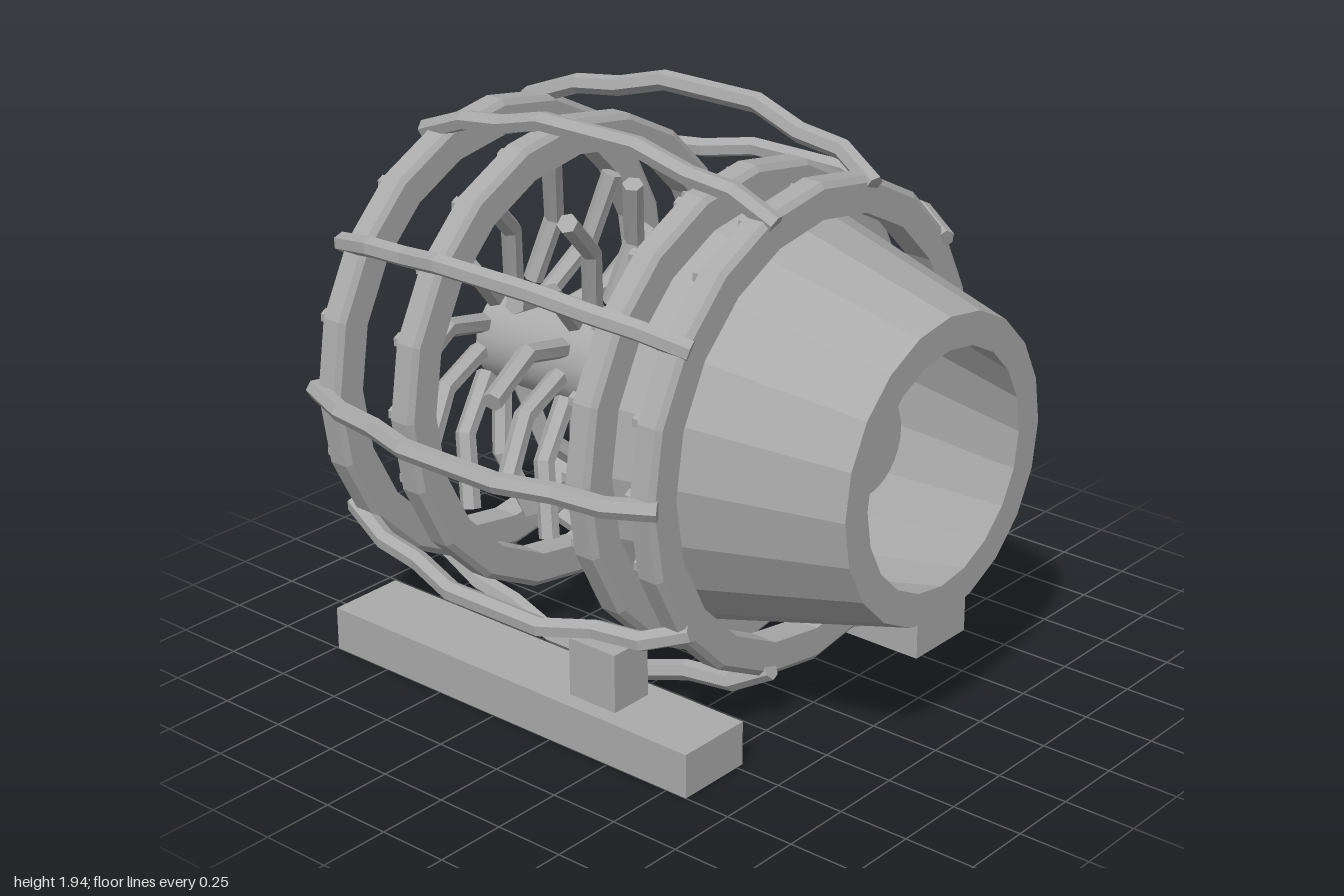
import * as THREE from 'three';

const AXIS_Y = 0.99;
const SIDES = 20;

// faceted hexagonal bar following a polyline, with closed ends
function hexBar(points, radius, up) {
  const pts = points.map(p => new THREE.Vector3(...p));
  const last = pts.length - 1;
  const rings = pts.map((p, i) => {
    const t = new THREE.Vector3();
    if (i > 0) t.add(p.clone().sub(pts[i - 1]).normalize());
    if (i < last) t.add(pts[i + 1].clone().sub(p).normalize());
    t.normalize();
    const side = up.clone().addScaledVector(t, -up.dot(t)).normalize();
    const out = side.clone().cross(t);
    return Array.from({ length: 6 }, (_, j) => {
      const a = j * Math.PI / 3;
      return p.clone()
        .addScaledVector(out, radius * Math.cos(a))
        .addScaledVector(side, radius * Math.sin(a));
    });
  });
  const tris = [];
  for (let j = 0; j < 6; j++) {
    const k = (j + 1) % 6;
    for (let i = 0; i < last; i++) {
      const a = rings[i][j], b = rings[i][k], c = rings[i + 1][k], d = rings[i + 1][j];
      tris.push(a, b, c, a, c, d);
    }
    tris.push(pts[0], rings[0][k], rings[0][j]);
    tris.push(pts[last], rings[last][j], rings[last][k]);
  }
  const g = new THREE.BufferGeometry().setFromPoints(tris);
  g.computeVertexNormals();
  return g;
}

// faceted ring around the z axis; the profile is a closed loop of [radius, z]
function turned(profile) {
  const loop = [...profile, profile[0]].map(p => new THREE.Vector2(...p));
  const g = new THREE.LatheGeometry(loop, SIDES).rotateX(Math.PI / 2).toNonIndexed();
  g.computeVertexNormals();
  return g;
}

export function createModel() {
  const model = new THREE.Group();
  const grey = new THREE.MeshStandardMaterial({ color: 0xaaaaaa });
  grey.name = 'steelGrey';

  const engine = new THREE.Group();
  engine.name = 'engine';
  engine.position.y = AXIS_Y;
  model.add(engine);

  const add = (parent, name, geometry, x = 0, y = 0, z = 0) => {
    const m = new THREE.Mesh(geometry, grey);
    m.name = name;
    m.position.set(x, y, z);
    parent.add(m);
    return m;
  };

  // hollow tapered nozzle
  add(engine, 'nozzle', turned([
    [0.71, 0.155], [0.71, 0.25], [0.51, 1], [0.4, 1], [0.6, 0.155],
  ]));

  // central shaft
  add(engine, 'shaft', new THREE.CylinderGeometry(0.175, 0.175, 1.55, 32).rotateX(Math.PI / 2), 0, 0, -0.075);

  // four hoops with bolts on their rear faces
  const hoop = turned([
    [0.71, -0.05], [0.81, -0.05], [0.83, -0.035], [0.83, 0.035], [0.81, 0.05], [0.71, 0.05],
  ]);
  const bolt = new THREE.CylinderGeometry(0.027, 0.027, 0.04, 6).rotateX(Math.PI / 2).toNonIndexed();
  bolt.computeVertexNormals();
  for (const z of [0.46, 0.2, -0.56, -0.9]) {
    add(engine, 'hoop', hoop, 0, 0, z);
    for (let i = 0; i < SIDES; i++) {
      const a = i * 2 * Math.PI / SIDES;
      add(engine, 'bolt', bolt, 0.775 * Math.cos(a), 0.775 * Math.sin(a), z - 0.06);
    }
  }

  // ten bowed ribs outside the hoops
  const rib = hexBar([
    [0.8, 0, 0.515], [0.885, 0, 0.37], [0.905, 0, 0.19], [0.965, 0, 0],
    [0.965, 0, -0.4], [0.91, 0, -0.59], [0.885, 0, -0.77], [0.8, 0, -0.98],
  ], 0.035, new THREE.Vector3(0, 1, 0));
  for (let i = 0; i < 10; i++) add(engine, 'rib', rib).rotation.z = i * Math.PI / 5;

  // three rows of bent blades around the shaft
  const blade = hexBar([
    [0.19, 0.012, -0.035], [0.41, 0.07, 0.015], [0.575, 0.255, 0.08],
  ], 0.036, new THREE.Vector3(0, 0, 1));
  for (const z of [0, -0.42, -0.785]) {
    for (let i = 0; i < 12; i++) add(engine, 'blade', blade, 0, 0, z).rotation.z = i * Math.PI / 6;
  }

  // skids and posts
  for (const s of [-1, 1]) {
    add(model, 'skid', new THREE.BoxGeometry(0.28, 0.155, 1.57), s * 0.61, 0.0775, -0.205);
    add(model, 'post', new THREE.BoxGeometry(0.16, 0.205, 0.195), s * 0.61, 0.2575, 0.135);
  }
  return model;
}
